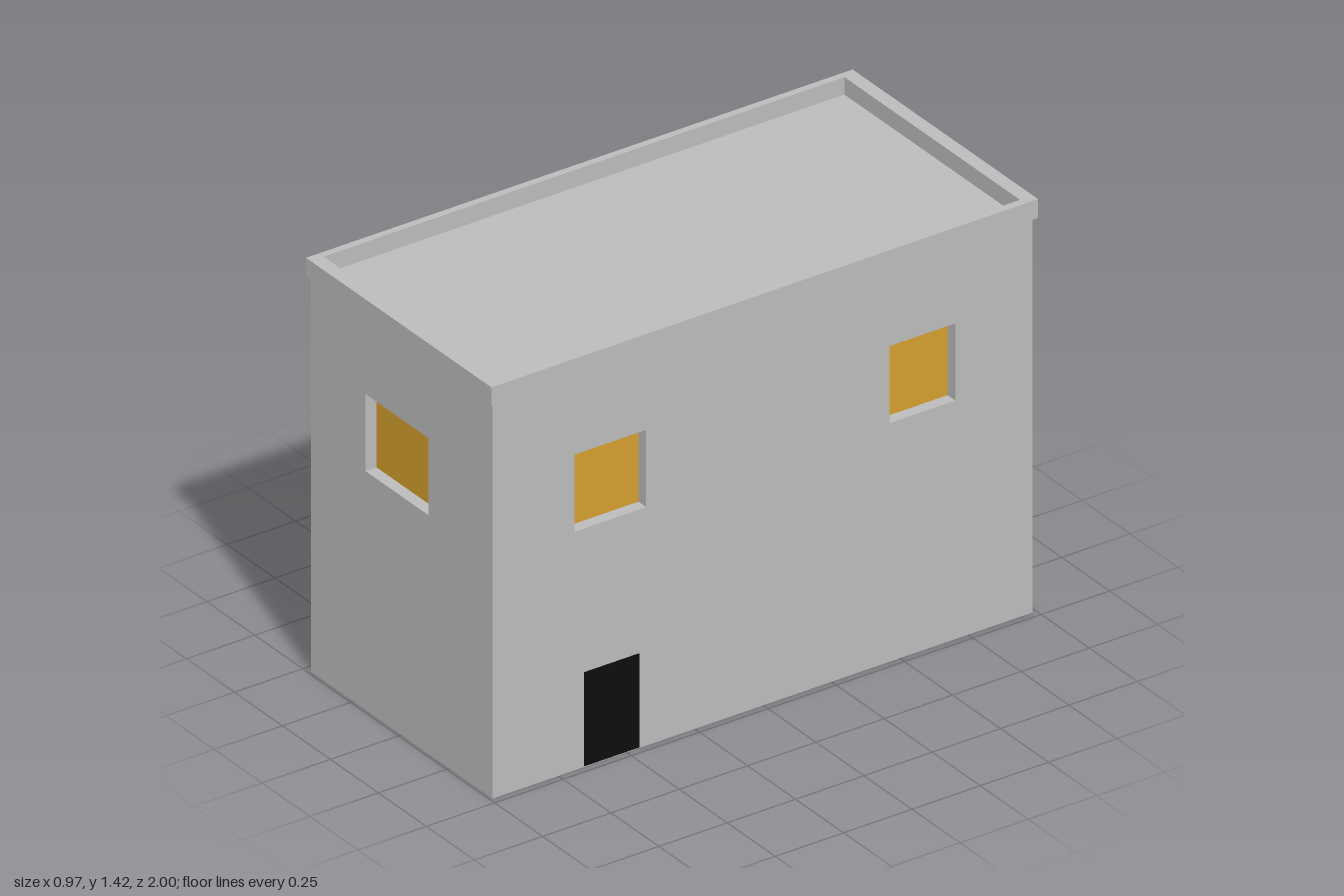
import * as THREE from 'three';
import { mergeGeometries } from 'three/addons/utils/BufferGeometryUtils.js';

const mat = (name, color) => {
  const m = new THREE.MeshStandardMaterial({ color });
  m.name = name;
  return m;
};

// Rectangle outline from its edges, for a Shape or a hole Path
function rect(Type, x0, x1, y0, y1) {
  return new Type([[x0, y0], [x1, y0], [x1, y1], [x0, y1]].map(([x, y]) => new THREE.Vector2(x, y)));
}

// Four inward-facing sides of a window recess
function reveal([x0, x1, y0, y1], depth) {
  const w = x1 - x0, h = y1 - y0;
  return mergeGeometries([0, 1, 2, 3].map((i) => {
    const [length, gap] = i % 2 ? [h, w] : [w, h];
    return new THREE.PlaneGeometry(length, depth)
      .rotateX(-Math.PI / 2)
      .translate(0, -gap / 2, -depth / 2)
      .rotateZ(i * Math.PI / 2)
      .translate((x0 + x1) / 2, (y0 + y1) / 2, 0);
  }));
}

export function createModel() {
  const model = new THREE.Group();
  model.name = 'building';
  const concrete = mat('concrete grey', 0xbcbcbc);
  const gold = mat('window gold', 0xd39e2e);
  const black = mat('door black', 0x0d0d0d);

  const X0 = -0.47, X1 = 0.475, Z0 = -0.985, Z1 = 0.99;
  const EAVES = 1.355, TOP = 1.42, ROOF = 1.36, RECESS = 0.04;

  const add = (parent, name, geometry, material) => {
    const mesh = new THREE.Mesh(geometry, material);
    mesh.name = name;
    parent.add(mesh);
    return mesh;
  };

  // Wall facing local +z, with recessed windows given as [x0, x1, y0, y1]
  function wall(name, x0, x1, windows = []) {
    const group = new THREE.Group();
    group.name = name;
    const shape = rect(THREE.Shape, x0, x1, 0, EAVES);
    shape.holes = windows.map((w) => rect(THREE.Path, ...w));
    add(group, 'wallFace', new THREE.ShapeGeometry(shape), concrete);
    for (const w of windows) {
      add(group, 'windowReveal', reveal(w, RECESS), concrete);
      add(group, 'windowPane', new THREE.ShapeGeometry(rect(THREE.Shape, ...w)), gold).position.z = -RECESS;
    }
    model.add(group);
    return group;
  }

  // Front wall with its wide window
  wall('frontWall', X0, X1, [[-0.187, 0.14, 0.82, 1.085]]).position.z = Z1;

  // Side wall on +x with two windows and a flush door
  const side = wall('doorSideWall', -Z1, -Z0, [[-0.69, -0.428, 0.82, 1.085], [0.463, 0.703, 0.82, 1.085]]);
  side.position.x = X1;
  side.rotation.y = Math.PI / 2;
  add(side, 'door', new THREE.BoxGeometry(0.2, 0.322, 0.004), black).position.set(-0.555, 0.165, 0.001);

  // Blank walls
  const back = wall('backWall', -X1, -X0);
  back.position.z = Z0;
  back.rotation.y = Math.PI;
  const blank = wall('blankSideWall', Z0, Z1);
  blank.position.x = X0;
  blank.rotation.y = -Math.PI / 2;

  // Underside
  add(model, 'floor', new THREE.PlaneGeometry(X1 - X0, Z1 - Z0).rotateX(Math.PI / 2), concrete)
    .position.set((X0 + X1) / 2, 0, (Z0 + Z1) / 2);

  // Overhanging parapet ring around the sunken flat roof
  const ring = rect(THREE.Shape, -0.483, 0.483, -1, 1);
  ring.holes.push(rect(THREE.Path, -0.459, 0.456, -0.953, 0.953));
  const parapet = new THREE.ExtrudeGeometry(ring, { depth: TOP - EAVES, bevelEnabled: false });
  add(model, 'parapet', parapet.rotateX(-Math.PI / 2), concrete).position.y = EAVES;
  add(model, 'roof', new THREE.PlaneGeometry(0.915, 1.906).rotateX(-Math.PI / 2), concrete)
    .position.set(-0.0015, ROOF, 0);

  return model;
}
